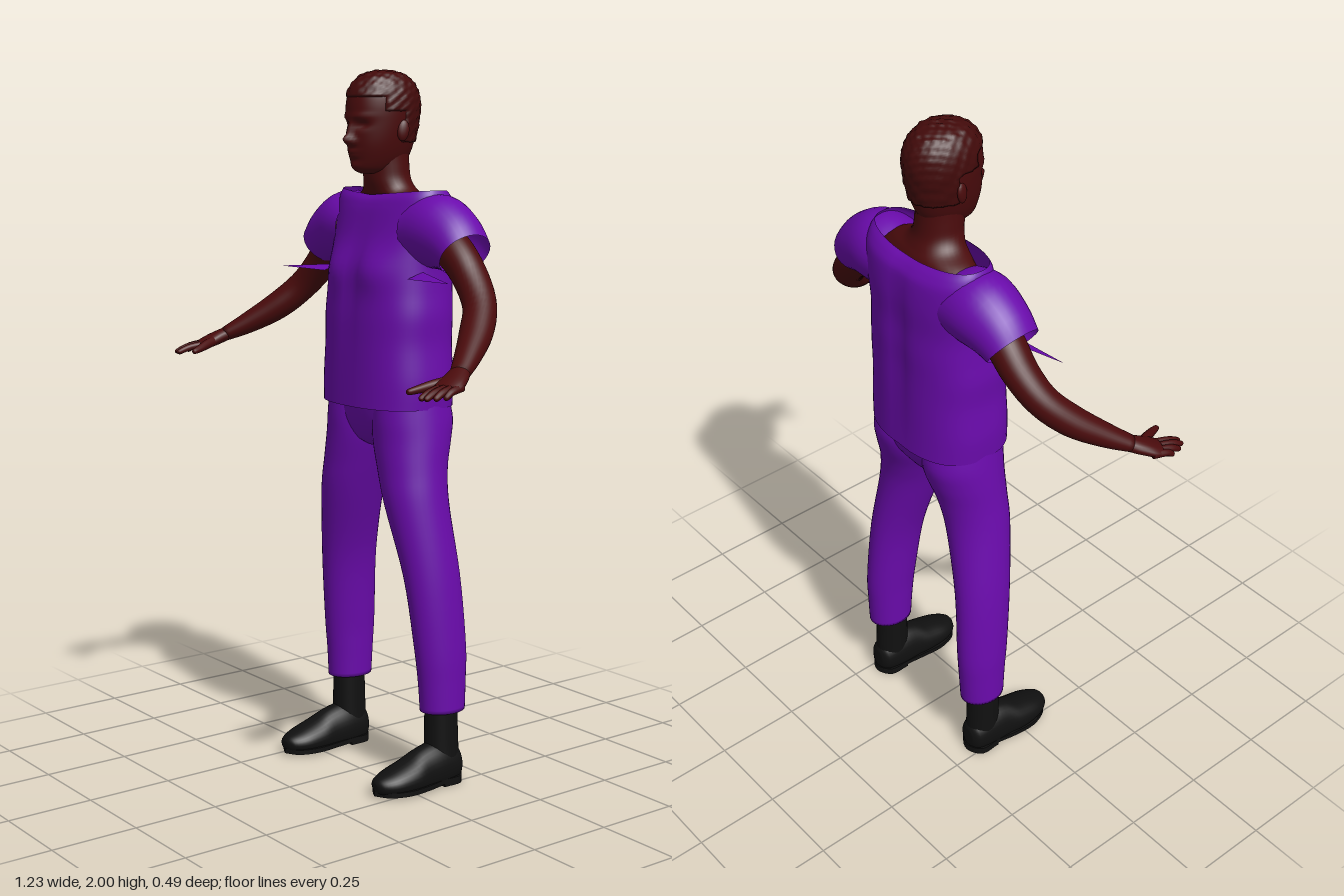
import * as THREE from 'three';

const mat = (name, color, side = THREE.FrontSide) => {
  const m = new THREE.MeshStandardMaterial({ color, side });
  m.name = name;
  return m;
};

// Smoothly subdivide a list of number rows
function refine(rows, n) {
  const out = [];
  for (let i = 0; i < rows.length - 1; i++) {
    const p = [rows[Math.max(i - 1, 0)], rows[i], rows[i + 1], rows[Math.min(i + 2, rows.length - 1)]];
    for (let k = 0; k < n; k++) {
      const t = k / n;
      out.push(p[1].map((b, j) => {
        const a = p[0][j], c = p[2][j], d = p[3][j];
        return b + 0.5 * t * (c - a + t * (2 * a - 5 * b + 4 * c - d + t * (3 * (b - c) + d - a)));
      }));
    }
  }
  out.push(rows[rows.length - 1]);
  return out;
}

// Surface through rings {c, u, v}; warp may move each vertex
function skinRings(rings, { seg = 32, cap = true, pow = 2, warp } = {}) {
  const pos = [], idx = [];
  const add = (p) => pos.push(p.x, p.y, p.z);
  const bend = (t) => Math.sign(t) * Math.pow(Math.abs(t), 2 / pow);
  for (const r of rings) for (let j = 0; j < seg; j++) {
    const a = (j / seg) * Math.PI * 2;
    const p = r.c.clone().addScaledVector(r.u, bend(Math.cos(a))).addScaledVector(r.v, bend(Math.sin(a)));
    if (warp) warp(p, r);
    add(p);
  }
  for (let i = 0; i < rings.length - 1; i++) for (let j = 0; j < seg; j++) {
    const a = i * seg + j, b = i * seg + (j + 1) % seg;
    idx.push(a, a + seg, b, b, a + seg, b + seg);
  }
  if (cap) {
    const last = (rings.length - 1) * seg, s = rings.length * seg;
    add(rings[0].c);
    add(rings[rings.length - 1].c);
    for (let j = 0; j < seg; j++) {
      const k = (j + 1) % seg;
      idx.push(s, j, k, s + 1, last + k, last + j);
    }
  }
  const g = new THREE.BufferGeometry();
  g.setAttribute('position', new THREE.Float32BufferAttribute(pos, 3));
  g.setIndex(idx);
  g.computeVertexNormals();
  return g;
}

// Upright form, rows bottom to top: [y, cx, cz, rx, rz]
const upright = (rows, opt = {}, n = 5) => skinRings(refine(rows, n).map(([y, x, z, rx, rz]) => ({
  c: new THREE.Vector3(x, y, z), u: new THREE.Vector3(rx, 0, 0), v: new THREE.Vector3(0, 0, rz),
})), opt);

// Limb along a path, rows: [x, y, z, side radius, up radius]
function limb(rows, s, opt = {}, n = 4) {
  const pts = refine(rows, n), up = new THREE.Vector3(0, 1, 0);
  const at = (i) => new THREE.Vector3(pts[i][0] * s, pts[i][1], pts[i][2]);
  return skinRings(pts.map((p, i) => {
    const t = at(Math.min(i + 1, pts.length - 1)).sub(at(Math.max(i - 1, 0))).normalize();
    const u = t.clone().cross(up).normalize(), v = u.clone().cross(t);
    return { c: at(i), u: u.multiplyScalar(p[3]), v: v.multiplyScalar(p[4]) };
  }), opt);
}

const bump = (x, y, x0, y0, sx, sy) => Math.exp(-(((x - x0) / sx) ** 2) - ((y - y0) / sy) ** 2);

export function createModel() {
  const skin = mat('skin', 0x4a0b0c), hair = mat('hair', 0x420a0a);
  const cloth = mat('purple cloth', 0x6a0bac, THREE.DoubleSide), leather = mat('black leather', 0x101010);
  const model = new THREE.Group();
  const add = (name, geo, m, parent = model) => {
    const mesh = new THREE.Mesh(geo, m);
    mesh.name = name;
    parent.add(mesh);
    return mesh;
  };

  // Head with sculpted face
  const headRows = [
    [1.718, 0, -0.05, 0.025, 0.045], [1.73, 0, -0.055, 0.045, 0.07], [1.76, 0, -0.065, 0.062, 0.09],
    [1.80, 0, -0.07, 0.074, 0.102], [1.85, 0, -0.075, 0.082, 0.108], [1.90, 0, -0.078, 0.085, 0.111],
    [1.94, 0, -0.079, 0.08, 0.103], [1.97, 0, -0.08, 0.065, 0.082], [1.987, 0, -0.08, 0.045, 0.054],
    [1.995, 0, -0.08, 0.012, 0.015]];
  add('head', upright(headRows, {
    seg: 72, warp: (p, r) => {
      if (p.z < r.c.z + 0.03) return;
      const x = Math.abs(p.x), y = p.y;
      p.z += 0.024 * bump(x, y, 0, 1.81, 0.013, 0.013) + 0.012 * bump(x, y, 0, 1.835, 0.009, 0.022)
        + 0.008 * bump(x, y, 0.015, 1.803, 0.008, 0.008)
        - 0.012 * bump(x, y, 0.033, 1.85, 0.017, 0.011) + 0.005 * bump(x, y, 0.03, 1.873, 0.028, 0.008)
        + 0.008 * bump(x, y, 0, 1.778, 0.02, 0.006) + 0.007 * bump(x, y, 0, 1.766, 0.018, 0.006)
        + 0.007 * bump(x, y, 0, 1.738, 0.02, 0.012);
    },
  }, 8), skin);

  // Short curly hair, tucked under the skin below the hairline
  add('hair', upright(headRows, {
    seg: 72, warp: (p, r) => {
      const front = (p.z - r.c.z) / 0.11;
      const line = front > 0.45 ? 1.925 : front > -0.1 ? 1.885 : 1.80;
      const curl = Math.sin(p.x * 210) * Math.sin(p.z * 190 + p.y * 90) * Math.cos(p.y * 170);
      const k = p.y > line ? 0.004 + 0.003 * curl : -0.012;
      const out = p.clone().sub(new THREE.Vector3(0, 1.88, -0.078)).normalize();
      p.addScaledVector(out, k);
      p.y = Math.min(p.y, 2);
    },
  }, 8), hair);

  // Neck widening into the shoulders
  add('neck', upright([
    [1.57, 0, -0.12, 0.19, 0.075], [1.62, 0, -0.12, 0.18, 0.075], [1.65, 0, -0.115, 0.14, 0.07],
    [1.672, 0, -0.105, 0.09, 0.068], [1.70, 0, -0.095, 0.069, 0.066], [1.74, 0, -0.09, 0.064, 0.066],
    [1.79, 0, -0.085, 0.062, 0.07]]), skin);

  // Shirt with a wide open collar
  add('shirt', upright([
    [1.075, 0, -0.098, 0.203, 0.147], [1.15, 0, -0.098, 0.206, 0.145], [1.25, 0, -0.099, 0.2, 0.143],
    [1.33, 0, -0.1, 0.203, 0.141], [1.40, 0, -0.104, 0.198, 0.138], [1.47, 0, -0.108, 0.196, 0.132],
    [1.55, 0, -0.12, 0.203, 0.121], [1.62, 0, -0.125, 0.207, 0.109], [1.655, 0, -0.122, 0.204, 0.096],
    [1.675, 0, -0.119, 0.196, 0.081]], {
    seg: 64, cap: false, pow: 2.5, warp: (p) => {
      const x = Math.abs(p.x);
      if (p.z > -0.09) p.z += 0.014 * bump(x, p.y, 0.085, 1.45, 0.06, 0.055) - 0.006 * bump(x, p.y, 0, 1.4, 0.025, 0.15);
      else p.z += 0.012 * bump(x, p.y, 0, 1.4, 0.03, 0.25);
      if (p.y > 1.62) p.y -= 0.016 * (1 - x / 0.2) * (p.y - 1.62) / 0.055;
    },
  }), cloth);

  // Trouser seat
  add('trouserSeat', upright([
    [0.955, 0, -0.1, 0.035, 0.06], [0.975, 0, -0.1, 0.1, 0.085], [1.02, 0, -0.104, 0.18, 0.108],
    [1.08, 0, -0.105, 0.195, 0.118], [1.13, 0, -0.1, 0.19, 0.115]], { seg: 48, pow: 2.3 }), cloth);

  for (const s of [1, -1]) {
    const half = new THREE.Group();
    half.name = s > 0 ? 'leftSide' : 'rightSide';
    model.add(half);

    const ear = add('ear', new THREE.SphereGeometry(1, 16, 12), skin, half);
    ear.scale.set(0.009, 0.029, 0.018);
    ear.position.set(s * 0.083, 1.835, -0.085);
    ear.rotation.set(-0.15, s * -0.3, 0);

    // Sleeve and the loose sliver of cloth under the arm
    add('sleeve', limb([
      [0.14, 1.562, -0.118, 0.1, 0.09], [0.2, 1.563, -0.118, 0.1, 0.102], [0.265, 1.54, -0.116, 0.09, 0.088],
      [0.315, 1.507, -0.114, 0.08, 0.068]], s, { cap: false }), cloth, half);
    const sliver = new THREE.BufferGeometry();
    sliver.setAttribute('position', new THREE.Float32BufferAttribute(
      [s * 0.19, 1.455, -0.07, s * 0.19, 1.438, -0.015, s * 0.385, 1.44, 0], 3));
    sliver.computeVertexNormals();
    add('underarmSliver', sliver, cloth, half);

    // Arm, palm, fingers and thumb
    add('arm', limb([
      [0.18, 1.57, -0.115, 0.055, 0.06], [0.28, 1.505, -0.115, 0.053, 0.052], [0.345, 1.44, -0.113, 0.05, 0.046],
      [0.405, 1.375, -0.09, 0.046, 0.043], [0.455, 1.315, -0.035, 0.045, 0.041], [0.505, 1.265, 0.035, 0.036, 0.032],
      [0.545, 1.23, 0.095, 0.027, 0.021]], s), skin, half);
    add('palm', limb([
      [0.54, 1.233, 0.088, 0.026, 0.02], [0.555, 1.22, 0.115, 0.033, 0.02], [0.567, 1.207, 0.145, 0.04, 0.018],
      [0.577, 1.198, 0.17, 0.036, 0.013]], s, { seg: 20 }), skin, half);
    const fingers = [
      [0.552, 0.17, 0.572, 0.242], [0.57, 0.172, 0.588, 0.238],
      [0.585, 0.165, 0.6, 0.218], [0.595, 0.15, 0.605, 0.19]];
    for (const [x0, z0, x1, z1] of fingers) add('finger', limb([
      [x0, 1.203, z0 - 0.02, 0.01, 0.011], [(x0 + x1) / 2 + 0.003, 1.196, (z0 + z1) / 2, 0.01, 0.01],
      [x1, 1.183, z1, 0.008, 0.008], [x1, 1.18, z1 + 0.005, 0.003, 0.003]], s, { seg: 12 }), skin, half);
    add('thumb', limb([
      [0.55, 1.215, 0.125, 0.016, 0.015], [0.53, 1.205, 0.17, 0.013, 0.014], [0.515, 1.196, 0.205, 0.011, 0.011],
      [0.506, 1.19, 0.23, 0.008, 0.008], [0.505, 1.189, 0.235, 0.003, 0.003]], s, { seg: 12 }), skin, half);

    // Trouser leg
    add('trouserLeg', upright([
      [0.215, s * 0.219, -0.127, 0.056, 0.069], [0.3, s * 0.217, -0.126, 0.058, 0.074],
      [0.4, s * 0.213, -0.122, 0.061, 0.081], [0.6, s * 0.194, -0.106, 0.067, 0.087],
      [0.8, s * 0.15, -0.086, 0.085, 0.095], [0.9, s * 0.126, -0.089, 0.096, 0.101],
      [0.98, s * 0.109, -0.1, 0.106, 0.113], [1.04, s * 0.105, -0.105, 0.104, 0.119],
      [1.11, s * 0.1, -0.1, 0.1, 0.11]], { seg: 40 }), cloth, half);

    // Boot: shaft, upper, sole and heel
    add('bootShaft', upright([
      [0.05, s * 0.22, -0.125, 0.045, 0.053], [0.12, s * 0.219, -0.124, 0.043, 0.052],
      [0.24, s * 0.218, -0.122, 0.042, 0.049]]), leather, half);
    add('bootUpper', limb([
      [0.22, 0.05, -0.182, 0.02, 0.03], [0.22, 0.05, -0.165, 0.042, 0.055], [0.22, 0.05, -0.11, 0.05, 0.075],
      [0.221, 0.045, -0.05, 0.052, 0.07], [0.222, 0.04, 0.0, 0.058, 0.053], [0.221, 0.035, 0.06, 0.053, 0.038],
      [0.219, 0.033, 0.1, 0.034, 0.025], [0.218, 0.032, 0.113, 0.012, 0.012]], s, {
      warp: (p) => { p.y = Math.max(p.y, 0.012); },
    }), leather, half);
    const outline = refine([
      [0.218, 0.115], [0.26, 0.088], [0.282, 0.03], [0.278, -0.04], [0.267, -0.1], [0.265, -0.16], [0.22, -0.186],
      [0.175, -0.16], [0.172, -0.1], [0.165, -0.04], [0.16, 0.03], [0.178, 0.088], [0.218, 0.115]], 4)
      .map(([x, z]) => new THREE.Vector2(s * x, -z));
    const slab = (pts, h) => new THREE.ExtrudeGeometry(new THREE.Shape(pts), { depth: h, bevelEnabled: false })
      .rotateX(-Math.PI / 2);
    add('sole', slab(outline, 0.014), leather, half).position.y = 0.008;
    add('heel', slab(outline.filter((p) => p.y > 0.09), 0.02), leather, half);
  }
  return model;
}
